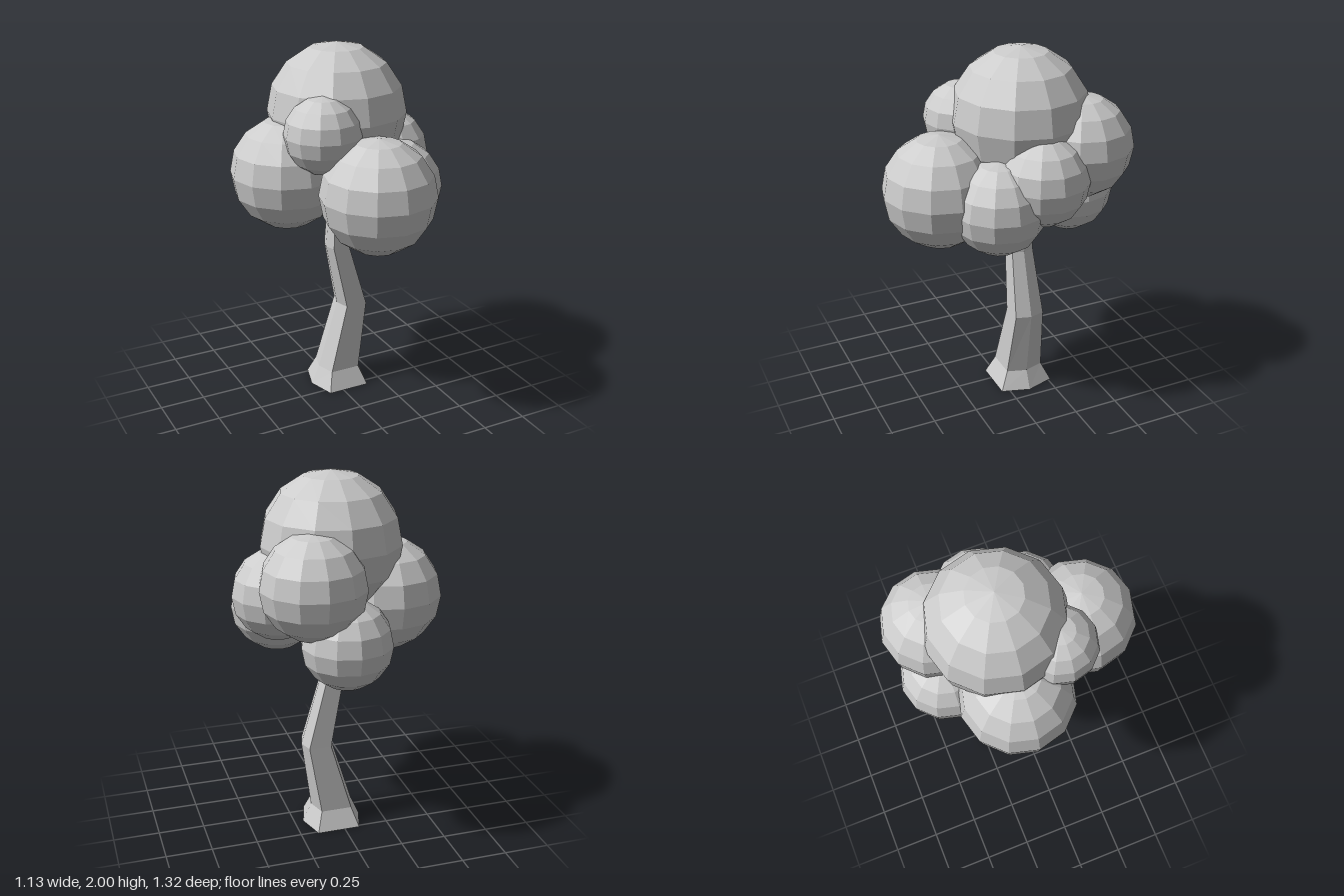
import * as THREE from 'three';

const material = new THREE.MeshStandardMaterial({ color: 0xcccccc, flatShading: true });

// Trunk rings, bottom to top: [centre x, y, half width, half depth]
const RINGS = [
  [0.035, 0, 0.165, 0.155],
  [0.035, 0.105, 0.118, 0.107],
  [0.12, 0.49, 0.085, 0.083],
  [0.035, 0.85, 0.066, 0.062],
  [0.04, 1.02, 0.058, 0.055],
  [0.04, 1.4, 0.035, 0.035],
];
const TRUNK_Z = -0.11;

// Leaf clumps: [name, x, y, z, radius]
const CLUMPS = [
  ['crownTop', 0.035, 1.625, -0.11, 0.375],
  ['crownFront', 0.04, 1.285, 0.35, 0.307],
  ['crownRight', -0.26, 1.325, -0.115, 0.305],
  ['crownUpperFront', -0.17, 1.582, 0.14, 0.204],
  ['crownFrontLeft', 0.272, 1.24, 0.118, 0.253],
  ['crownLeft', 0.323, 1.37, -0.105, 0.242],
  ['crownBackUpper', 0.208, 1.478, -0.383, 0.277],
  ['crownBackLower', 0.04, 1.17, -0.405, 0.24],
];

// Branches: [start height, end x, y, z, base radius]
const BRANCHES = [
  [0.95, 0.04, 1.1, -0.36, 0.04],
  [0.97, 0.04, 1.18, 0.25, 0.035],
  [1.05, -0.22, 1.28, -0.11, 0.035],
  [1.08, 0.25, 1.25, 0.06, 0.03],
];

function addMesh(group, name, geometry) {
  const mesh = new THREE.Mesh(geometry, material);
  mesh.name = name;
  group.add(mesh);
  return mesh;
}

// Bent six-sided trunk with a flared foot
function trunkGeometry() {
  const rows = RINGS.length - 1;
  const g = new THREE.CylinderGeometry(1, 1, 1, 6, rows, false, Math.PI / 6);
  const p = g.attributes.position;
  for (let i = 0; i < p.count; i++) {
    const [cx, y, hx, hz] = RINGS[Math.round((p.getY(i) + 0.5) * rows)];
    let x = p.getX(i);
    if (Math.abs(x) > 0.1 && Math.abs(x) < 0.6) x = Math.sign(x) * 0.72;
    p.setXYZ(i, cx + x * hx, y, TRUNK_Z + (p.getZ(i) / 0.866) * hz);
  }
  g.computeVertexNormals();
  return g;
}

export function createModel() {
  const tree = new THREE.Group();
  tree.name = 'tree';
  addMesh(tree, 'trunk', trunkGeometry());

  // Short limbs reaching into the clumps
  for (const [y, ex, ey, ez, r] of BRANCHES) {
    const start = new THREE.Vector3(0.04, y, TRUNK_Z);
    const end = new THREE.Vector3(ex, ey, ez);
    const dir = end.clone().sub(start);
    const limb = addMesh(tree, 'branch', new THREE.CylinderGeometry(r * 0.6, r, dir.length(), 6));
    limb.position.copy(start).lerp(end, 0.5);
    limb.quaternion.setFromUnitVectors(new THREE.Vector3(0, 1, 0), dir.normalize());
  }

  // Faceted leaf clumps
  for (const [name, x, y, z, r] of CLUMPS) {
    addMesh(tree, name, new THREE.SphereGeometry(r, 12, 8)).position.set(x, y, z);
  }
  return tree;
}
